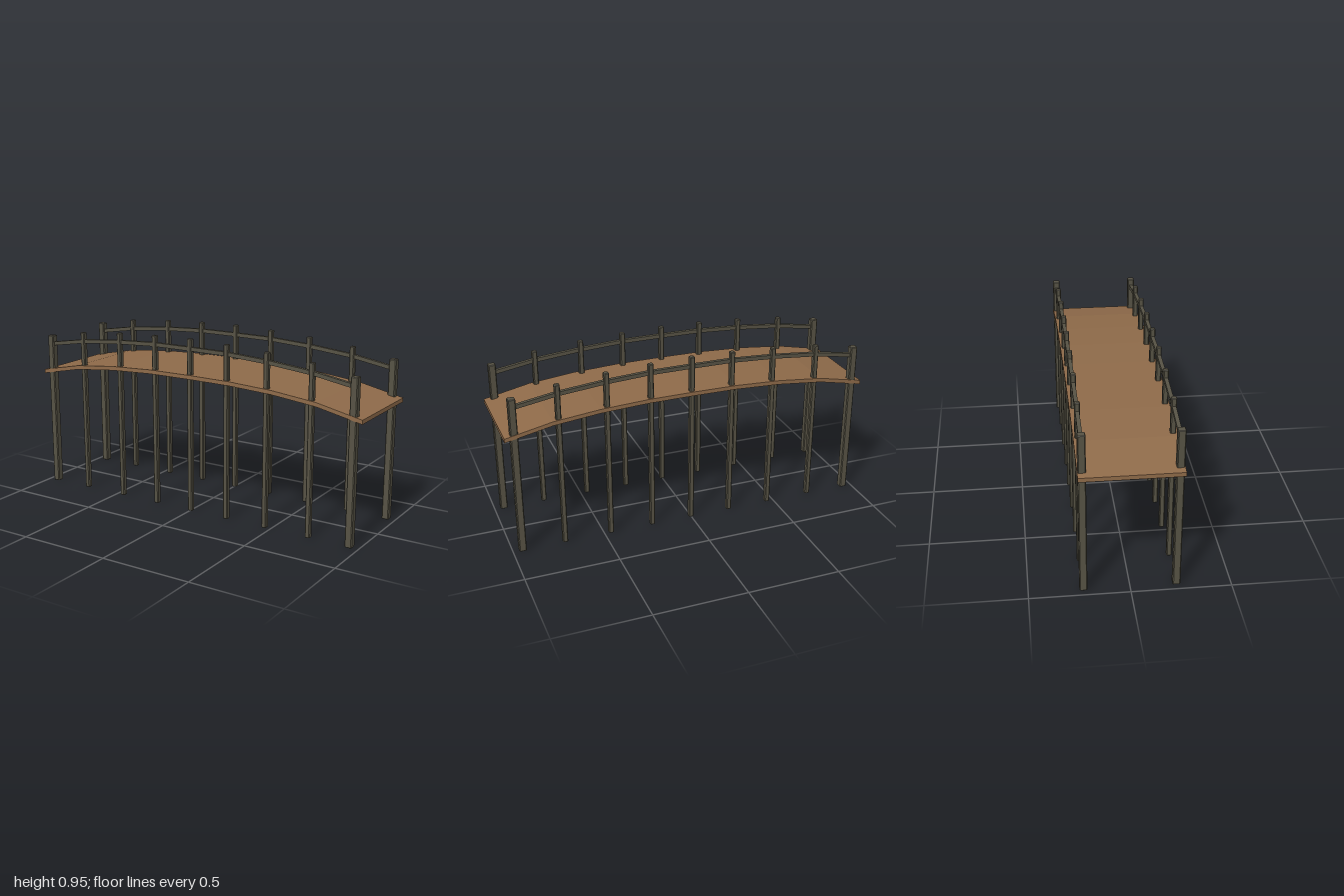
import * as THREE from 'three';

// Closed band of constant height following a mirrored arch of [x, y] centre points
function archBand(half, height, depth) {
  const left = half.slice(1).reverse().map(([x, y]) => [-x, y]);
  const pts = [...left, ...half];
  const outline = [
    ...pts.map(([x, y]) => new THREE.Vector2(x, y - height / 2)),
    ...pts.slice().reverse().map(([x, y]) => new THREE.Vector2(x, y + height / 2)),
  ];
  const geo = new THREE.ExtrudeGeometry(new THREE.Shape(outline), { depth, bevelEnabled: false });
  return geo.translate(0, 0, -depth / 2);
}

// Square timber standing on y = 0 with slightly chamfered edges
function timber(width, height, c = 0.003) {
  const h = width / 2 - c, k = h - c;
  const shape = new THREE.Shape([
    [k, -h], [h, -k], [h, k], [k, h], [-k, h], [-h, k], [-h, -k], [-k, -h],
  ].map(([x, y]) => new THREE.Vector2(x, y)));
  const geo = new THREE.ExtrudeGeometry(shape, {
    depth: height - 2 * c, bevelThickness: c, bevelSize: c, bevelSegments: 1,
  });
  return geo.translate(0, 0, c).rotateX(-Math.PI / 2);
}

export function createModel() {
  const group = new THREE.Group();
  const plankWood = new THREE.MeshStandardMaterial({ color: 0x8e6a49 });
  plankWood.name = 'plankWood';
  const darkWood = new THREE.MeshStandardMaterial({ color: 0x565244 });
  darkWood.name = 'darkWood';

  const add = (name, geo, mat, x = 0, z = 0) => {
    const mesh = new THREE.Mesh(geo, mat);
    mesh.name = name;
    mesh.position.set(x, 0, z);
    group.add(mesh);
  };

  // Arched walkway
  const deckLine = [[0, 0.75], [0.25, 0.748], [0.5, 0.736], [0.75, 0.71], [1, 0.658]];
  add('deck', archBand(deckLine, 0.022, 0.504), plankWood);

  // Posts as [x, top, width], mirrored along the bridge
  const posts = [
    [0, 0.953, 0.028], [0.226, 0.947, 0.028], [0.462, 0.935, 0.028],
    [0.717, 0.912, 0.028], [0.948, 0.872, 0.039],
  ];
  const railLine = [[0, 0.899], [0.226, 0.898], [0.462, 0.885], [0.717, 0.861], [0.948, 0.823]];

  for (const side of [1, -1]) {
    const z = 0.23 * side;
    const label = side > 0 ? 'front' : 'back';
    add(label + 'Handrail', archBand(railLine, 0.021, 0.02), darkWood, 0, z);
    for (const [x, top, width] of posts) {
      const name = label + (width > 0.03 ? 'EndPost' : 'Post');
      for (const px of x ? [x, -x] : [0]) add(name, timber(width, top), darkWood, px, z);
    }
  }
  return group;
}
